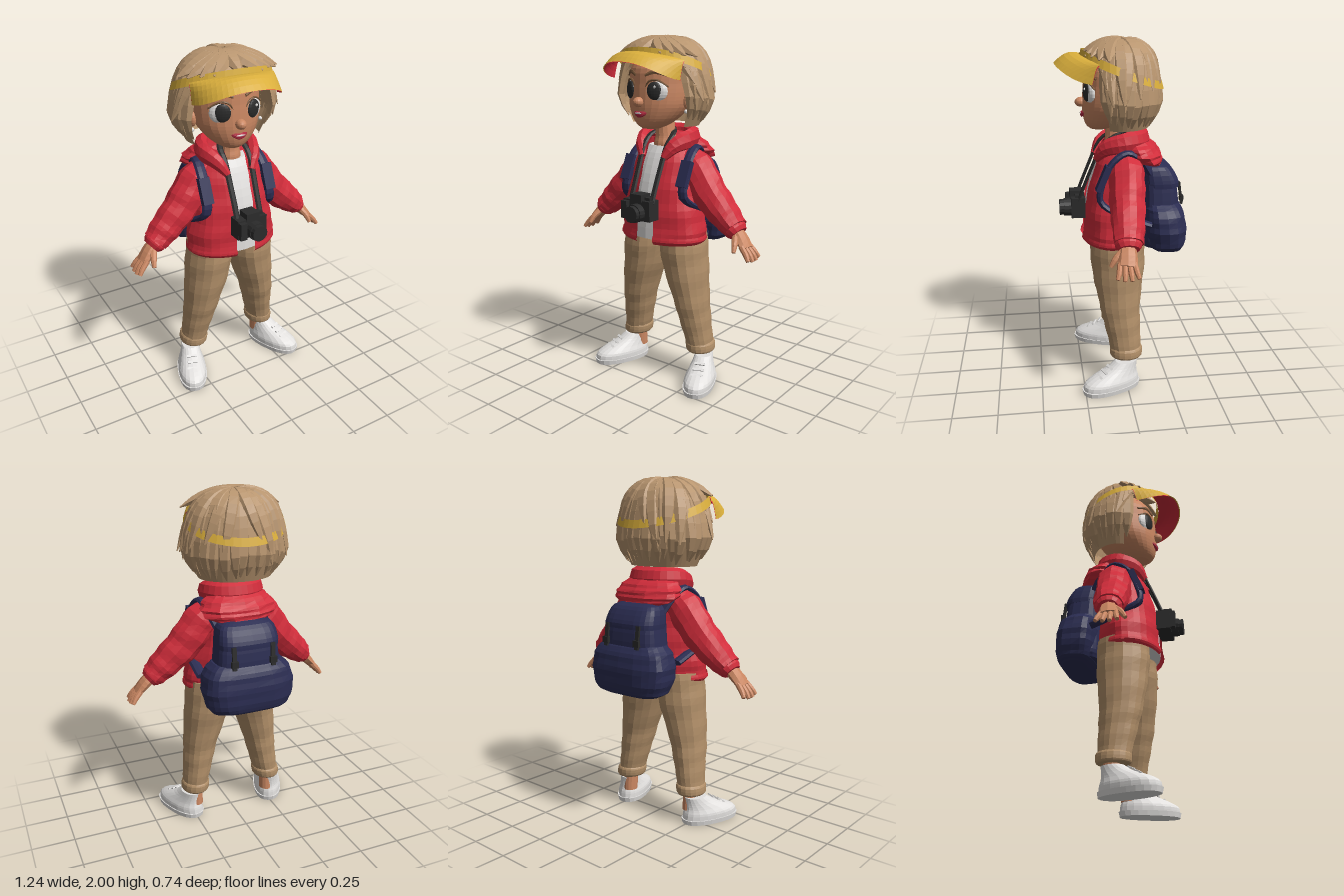
import * as THREE from 'three';

const mat = (name, color, double) => {
  const m = new THREE.MeshStandardMaterial({ color, flatShading: true });
  if (double) m.side = THREE.DoubleSide;
  m.name = name;
  return m;
};
const V = (x, y, z) => new THREE.Vector3(x, y, z);
const sp = (x, pow) => Math.sign(x) * Math.abs(x) ** pow;

// Grid surface: f(u, v) gives a point
function surf(f, nu, nv) {
  const pos = [], idx = [];
  for (let j = 0; j <= nv; j++) for (let i = 0; i <= nu; i++) pos.push(...f(i / nu, j / nv, j));
  for (let j = 0; j < nv; j++) for (let i = 0; i < nu; i++) {
    const a = j * (nu + 1) + i, b = a + 1, c = a + nu + 1, d = c + 1;
    idx.push(a, b, d, a, d, c);
  }
  const g = new THREE.BufferGeometry();
  g.setAttribute('position', new THREE.Float32BufferAttribute(pos, 3));
  g.setIndex(idx);
  g.computeVertexNormals();
  return g;
}

// Smooth loft through rows [x, y, z, radiusA, radiusB]; rings stay level unless ref is given
// (then radiusB lies along ref and radiusA across it)
function loft(rows, { sides = 14, seg = 14, ref, pow = 1, gap = 0, wrinkle = 0, cap = true } = {}) {
  const curve = k => new THREE.CatmullRomCurve3(rows.map(k), false, 'catmullrom');
  const centre = curve(r => V(r[0], r[1], r[2])), radii = curve(r => V(r[3], r[4], 0));
  return surf((u, v, j) => {
    const t = Math.min(1, Math.max(0, (j - 1) / seg));
    const k = cap && (j === 0 || j === seg + 2) ? 0 : 1;
    const c = centre.getPoint(t), r = radii.getPoint(t);
    let N = V(1, 0, 0), B = V(0, 0, 1);
    if (ref) {
      const T = centre.getTangent(t);
      N = T.clone().cross(ref).normalize();
      B = N.clone().cross(T);
    }
    const a0 = gap / r.x, a = a0 + (2 * Math.PI - 2 * a0) * u;
    const m = k * (1 + wrinkle * Math.sin(3 * a + 19 * t) * Math.cos(4 * a - 13 * t));
    return c.addScaledVector(N, r.x * m * sp(Math.sin(a), pow)).addScaledVector(B, r.y * m * sp(Math.cos(a), pow)).toArray();
  }, sides, seg + 2);
}

export function createModel() {
  const root = new THREE.Group();
  const hair = mat('blonde hair', 0xb8956f, true), skin = mat('skin', 0xca8762);
  const red = mat('red cloth', 0xd02c3a, true), white = mat('white', 0xe2e0de);
  const navy = mat('navy', 0x2b2d52), black = mat('black', 0x2b2b2b);
  const yellow = mat('yellow', 0xd9ae3c, true), khaki = mat('khaki', 0xb08e68);
  const lip = mat('lips', 0xb02a40), brown = mat('brow brown', 0x7d5a3c);
  const add = (name, geo, material, parent = root) => {
    const m = new THREE.Mesh(geo, material);
    m.name = name;
    parent.add(m);
    return m;
  };
  const ball = (name, material, p, s, parent) => {
    const m = add(name, new THREE.SphereGeometry(1, 16, 10), material, parent);
    m.position.set(...p);
    m.scale.set(...s);
    return m;
  };
  const box = (name, material, s, p, parent) => {
    const m = add(name, new THREE.BoxGeometry(...s), material, parent);
    m.position.set(...p);
    return m;
  };
  const mirror = (rows, s) => rows.map(r => [r[0] * s, ...r.slice(1)]);
  let seed = 7;
  const rnd = () => (seed = (seed * 16807) % 2147483647) / 2147483647;
  const X = V(1, 0, 0), Z = V(0, 0, 1);

  // Torso: shirt, open jacket, hem, neck
  const body = [[0, .86, .05, .27, .18], [0, .95, .048, .27, .18], [0, 1.07, .042, .245, .178], [0, 1.2, .03, .218, .162],
    [0, 1.32, .01, .2, .138], [0, 1.4, .005, .14, .11], [0, 1.44, .01, .09, .09]];
  add('shirt', loft(body.slice(0, 6).map(r => [r[0], r[1] + (r[1] > 1.39 ? -.01 : .01), r[2], r[3] - .025, r[4] - .012]), { sides: 24 }), white);
  add('jacket', loft(body, { sides: 30, seg: 20, gap: .06, wrinkle: .03, cap: false }), red);
  add('jacketHem', loft([[0, .845, .05, .262, .178], [0, .865, .05, .28, .19], [0, .89, .05, .275, .186]],
    { sides: 30, seg: 4, gap: .06, cap: false }), red);
  add('neck', loft([[0, 1.34, .025, .07, .07], [0, 1.4, .025, .066, .076], [0, 1.45, .03, .057, .06], [-.01, 1.54, .03, .055, .06]]), skin);

  // Hood: collar roll around the neck and folded cloth drooping behind
  add('collar', loft([[-.075, 1.33, .15, .02, .02], [-.12, 1.4, .1, .035, .045], [-.15, 1.43, 0, .04, .06], [-.1, 1.435, -.09, .045, .065],
    [0, 1.435, -.12, .045, .065], [.1, 1.435, -.09, .045, .065], [.15, 1.43, 0, .04, .06], [.12, 1.4, .1, .035, .045],
    [.075, 1.33, .15, .02, .02]], { seg: 28, sides: 8, ref: V(0, 1, 0) }), red);
  add('hood', loft([[0, 1.28, -.2, .08, .03], [0, 1.315, -.145, .2, .09], [0, 1.36, -.11, .222, .118], [0, 1.41, -.085, .185, .105],
    [0, 1.46, -.06, .1, .06]], { sides: 18, wrinkle: .06 }), red);

  for (const s of [1, -1]) {
    const side = s > 0 ? 'left' : 'right';
    const out = V(s, 1, 0);
    // Sleeve and cuff
    add(side + 'Sleeve', loft(mirror([[.11, 1.33, -.01, .085, .08], [.19, 1.26, -.01, .1, .105], [.29, 1.135, 0, .098, .1],
      [.4, 1.03, .01, .09, .085], [.475, .965, .02, .078, .066]], s), { ref: out, seg: 18, sides: 16, wrinkle: .07 }), red);
    add(side + 'Cuff', loft(mirror([[.46, .975, .02, .07, .058], [.48, .957, .021, .074, .062], [.5, .94, .022, .058, .046]], s),
      { ref: out, seg: 5 }), red);
    // Hand with four fingers and a thumb
    const hand = new THREE.Group();
    hand.name = side + 'Hand';
    root.add(hand);
    const limb = (name, rows) => add(name, loft(mirror(rows, s), { sides: 8, seg: 5, ref: out }), skin, hand);
    limb('palm', [[.47, .965, .025, .04, .036], [.52, .92, .03, .05, .032], [.565, .87, .038, .053, .022]]);
    for (let k = 0; k < 4; k++) {
      const d = k - 1.5, len = 1 - Math.abs(d) * .1;
      limb('finger', [[.55, .885, .038 + d * .025, .015, .017], [.55 + .042 * len, .885 - .045 * len, .038 + d * .031, .015, .016],
        [.55 + .066 * len, .885 - .08 * len, .038 + d * .038, .011, .011]]);
    }
    limb('thumb', [[.5, .935, .055, .02, .02], [.52, .9, .095, .018, .018], [.53, .86, .122, .011, .011]]);

    // Trouser leg, turn-up and ankle
    add(side + 'Trouser', loft(mirror([[.24, .2, 0, .073, .086], [.215, .35, .015, .088, .102], [.19, .5, .03, .103, .12],
      [.145, .72, .03, .134, .147], [.127, .9, .03, .134, .15]], s), { sides: 18, seg: 20, wrinkle: .035 }), khaki);
    add(side + 'TurnUp', loft(mirror([[.242, .178, 0, .074, .086], [.24, .19, 0, .083, .095], [.236, .225, 0, .084, .096],
      [.234, .238, 0, .075, .088]], s), { sides: 18, seg: 6 }), khaki);
    add(side + 'Ankle', loft([[.24 * s, .08, -.015, .042, .046], [.24 * s, .21, -.005, .042, .046]], { seg: 3 }), skin);

    // Shoe, turned outward
    const shoe = new THREE.Group();
    shoe.name = side + 'Shoe';
    shoe.position.set(.303 * s, 0, .096);
    shoe.rotation.y = .38 * s;
    root.add(shoe);
    add('sole', loft([[0, 0, 0, .085, .176], [0, .028, 0, .09, .182]], { sides: 22, seg: 2, pow: .85 }), white, shoe);
    add('upper', loft([[0, .025, 0, .085, .176], [0, .06, -.002, .085, .17], [0, .09, -.025, .073, .138], [0, .125, -.07, .06, .092],
      [0, .16, -.1, .052, .066]], { sides: 20, seg: 10, pow: .9 }), white, shoe);
    for (let k = 0; k < 3; k++) {
      const lace = box('lace', white, [.07 - k * .005, .008, .014], [0, .098 + k * .02, .08 - k * .034], shoe);
      lace.rotation.x = .55;
    }

    // Shoulder strap of the bag, buckle strap, and camera strap
    add(side + 'ShoulderStrap', loft(mirror([[.13, 1.25, -.15], [.165, 1.34, -.09], [.182, 1.385, -.01], [.197, 1.33, .075], [.202, 1.23, .125],
      [.208, 1.12, .14], [.235, 1.05, .04], [.235, .98, -.14]], s).map(r => [...r, .018, .032]), { seg: 24, sides: 8, ref: X }), navy);
    box(side + 'StrapPad', navy, [.064, .15, .035], [.202 * s, 1.25, .122]).rotation.x = -.4;
    box(side + 'Buckle', black, [.025, .13, .012], [.115 * s, 1.13, -.329]).rotation.x = .12;
    box(side + 'BuckleClip', black, [.04, .035, .018], [.115 * s, 1.1, -.336]);
    add(side + 'CameraStrap', loft(mirror([[.075, 1.09, .255], [.075, 1.18, .22], [.078, 1.3, .17], [.08, 1.4, .125], [.07, 1.46, .05],
      [0, 1.48, -.04]], s).map(r => [...r, .009, .018]), { seg: 16, sides: 6, ref: X }), black);
  }

  // Backpack: main bag, wide lower pocket, lid
  add('bag', loft([[0, .82, -.2, .18, .09], [0, .88, -.21, .2, .11], [0, 1.1, -.215, .185, .11], [0, 1.24, -.2, .165, .095],
    [0, 1.29, -.185, .13, .06]], { sides: 24, pow: .6 }), navy);
  add('bagPocket', loft([[0, .795, -.26, .19, .07], [0, .825, -.25, .24, .11], [0, .93, -.242, .268, .128], [0, 1.03, -.232, .25, .12],
    [0, 1.08, -.22, .2, .1]], { sides: 24, pow: .65, wrinkle: .025 }), navy);
  add('bagLid', loft([[0, 1.17, -.22, .178, .108], [0, 1.21, -.215, .178, .108], [0, 1.28, -.195, .16, .085], [0, 1.31, -.18, .11, .045]],
    { sides: 24, seg: 8, pow: .6 }), navy);

  // Camera
  const cam = new THREE.Group();
  cam.name = 'camera';
  cam.position.set(-.002, 1.05, .255);
  root.add(cam);
  box('cameraBody', black, [.185, .115, .08], [0, 0, 0], cam);
  box('cameraGrip', black, [.04, .1, .035], [-.07, 0, .05], cam);
  box('cameraPrism', black, [.08, .04, .08], [0, .07, .005], cam);
  box('cameraDial', black, [.035, .02, .035], [.06, .064, 0], cam);
  [[.052, .05, .055], [.046, .04, .085]].forEach(([r, h, z]) => {
    const lens = add('lens', new THREE.CylinderGeometry(r, r, h, 16), black, cam);
    lens.rotation.x = Math.PI / 2;
    lens.position.set(.01, -.012, z);
  });

  // Head, turned slightly
  const head = new THREE.Group();
  head.name = 'head';
  head.position.x = -.025;
  head.rotation.y = -.07;
  root.add(head);
  add('face', loft([[0, 1.49, .12, .05, .05], [0, 1.51, .1, .09, .095], [0, 1.55, .075, .135, .135], [0, 1.61, .045, .175, .172],
    [0, 1.67, .03, .188, .185], [0, 1.74, .02, .19, .19], [0, 1.82, .01, .188, .19], [0, 1.9, 0, .14, .145], [0, 1.93, 0, .08, .08]],
    { sides: 28, seg: 24 }), skin, head);
  ball('nose', skin, [0, 1.64, .222], [.03, .028, .036], head);
  add('lips', loft([[-.058, 1.592, .19, .003, .004], [-.025, 1.577, .213, .014, .009], [0, 1.572, .219, .017, .01], [.025, 1.577, .213, .014, .009],
    [.058, 1.592, .19, .003, .004]], { ref: Z, sides: 8 }), lip, head);
  ball('teeth', white, [0, 1.579, .226], [.026, .005, .004], head);
  for (const s of [1, -1]) {
    ball('eyeWhite', white, [.092 * s, 1.7, .173], [.063, .058, .026], head).rotation.y = .42 * s;
    ball('iris', black, [.09 * s, 1.703, .19], [.044, .05, .015], head).rotation.y = .4 * s;
    ball('eyeGlint', white, [.088 * s + .014, 1.724, .203], [.008, .008, .004], head);
    add('upperLashes', loft(mirror([[.03, 1.712, .203, .004, .005], [.06, 1.753, .2, .006, .006], [.105, 1.76, .182, .006, .006],
      [.155, 1.725, .146, .004, .005]], s), { ref: Z, sides: 6 }), brown, head);
    add('brow', loft(mirror([[.035, 1.785, .205, .008, .006], [.09, 1.803, .183, .012, .006], [.15, 1.78, .14, .005, .005]], s),
      { ref: Z, sides: 6 }), brown, head);
    ball('ear', skin, [.193 * s, 1.64, .03], [.022, .045, .032], head);
    ball('earring', white, [.205 * s, 1.59, .06], [.011, .011, .011], head);
  }

  // Visor: band around the head, arched brim with red lining
  const band = a => [.288 * Math.sin(a), 1.82 + .088 * Math.cos(a), (Math.cos(a) > 0 ? .23 : .245) * Math.cos(a)];
  add('visorBand', surf((u, v) => {
    const p = band(u * 2 * Math.PI);
    return [p[0] * (1 - .05 * v), p[1] - .018 + .045 * v, p[2] * (1 - .05 * v)];
  }, 40, 1), yellow, head);
  const brim = (drop, inset) => surf((u, v) => {
    const a = 1.45 * (2 * u - 1), i = band(a * .7), w = inset + (1 - inset) * v;
    const o = [.25 * sp(Math.sin(a), .85), 1.76 + .1 * Math.cos(a) ** 1.7, .12 + .25 * sp(Math.cos(a), .85)];
    return o.map((q, k) => q + (i[k] - q) * w + (k === 1 ? .025 * Math.sin(Math.PI * w) - drop : 0));
  }, 24, 5);
  add('brim', brim(0, 0), yellow, head);
  add('brimLining', brim(.008, .04), red, head);

  // Hair: cap and hanging shell under layered locks
  const profile = [[0, 1.98], [.4, 1.963], [.74, 1.905], [.92, 1.795], [1.03, 1.645], [.8, 1.515]];
  const shell = pts => pts.map(p => new THREE.Vector2(p[0] * .95, p[1] - .01)).reverse();
  for (const [name, pts, start, len] of [['hairCap', profile.slice(0, 3), 0, 6.2832], ['hairShell', profile.slice(2), 1.15, 3.98]]) {
    const m = add(name, new THREE.LatheGeometry(shell(pts), 28, start, len), hair, head);
    m.scale.set(.28, 1, .215);
  }
  const path = new THREE.CatmullRomCurve3(profile.map(p => V(p[0], p[1], 0)), false, 'catmullrom');
  const lock = (th, t0, t1, w, swirl, flick, thick = .024) => {
    const rows = [];
    for (let i = 0; i <= 5; i++) {
      const f = i / 5, p = path.getPoint(t0 + (t1 - t0) * f), a = th + swirl * f * f, r = p.x + flick * f ** 3;
      const k = [.5, .9, 1, 1, .75, .1][i];
      rows.push([.28 * r * Math.sin(a), p.y, .215 * r * Math.cos(a), thick * k, w * k]);
    }
    add('hairLock', loft(rows, { sides: 6, seg: 9, ref: V(Math.cos(th), 0, -Math.sin(th)) }), hair, head);
  };
  // Under layer, then swirling upper layer
  for (let i = 0; i < 22; i++) lock(1.14 + 4 * i / 21, .12, .94 + .06 * rnd(), .05, .16 * (rnd() - .5), .06 * (rnd() - .6));
  for (let i = 0; i < 15; i++) lock(1.2 + 3.88 * i / 14, .04, .66 + .24 * rnd(), .046, .6 * (rnd() - .5), .11 * rnd(), .024 + .012 * rnd());
  // Fringe puffed out over the visor
  for (let i = 0; i < 9; i++) {
    const th = -1.0 + .25 * i;
    lock(th, .03, .38 + .05 * Math.abs(th) + .02 * rnd(), .048, .25 * Math.sign(th), .3, .032);
  }
  // Side-swept locks falling over the ends of the visor
  for (const s of [1, -1]) for (let i = 0; i < 3; i++) lock(s * (.72 + .16 * i), .05, .55 + .12 * i, .045, .32 * s, .13);
  return root;
}
